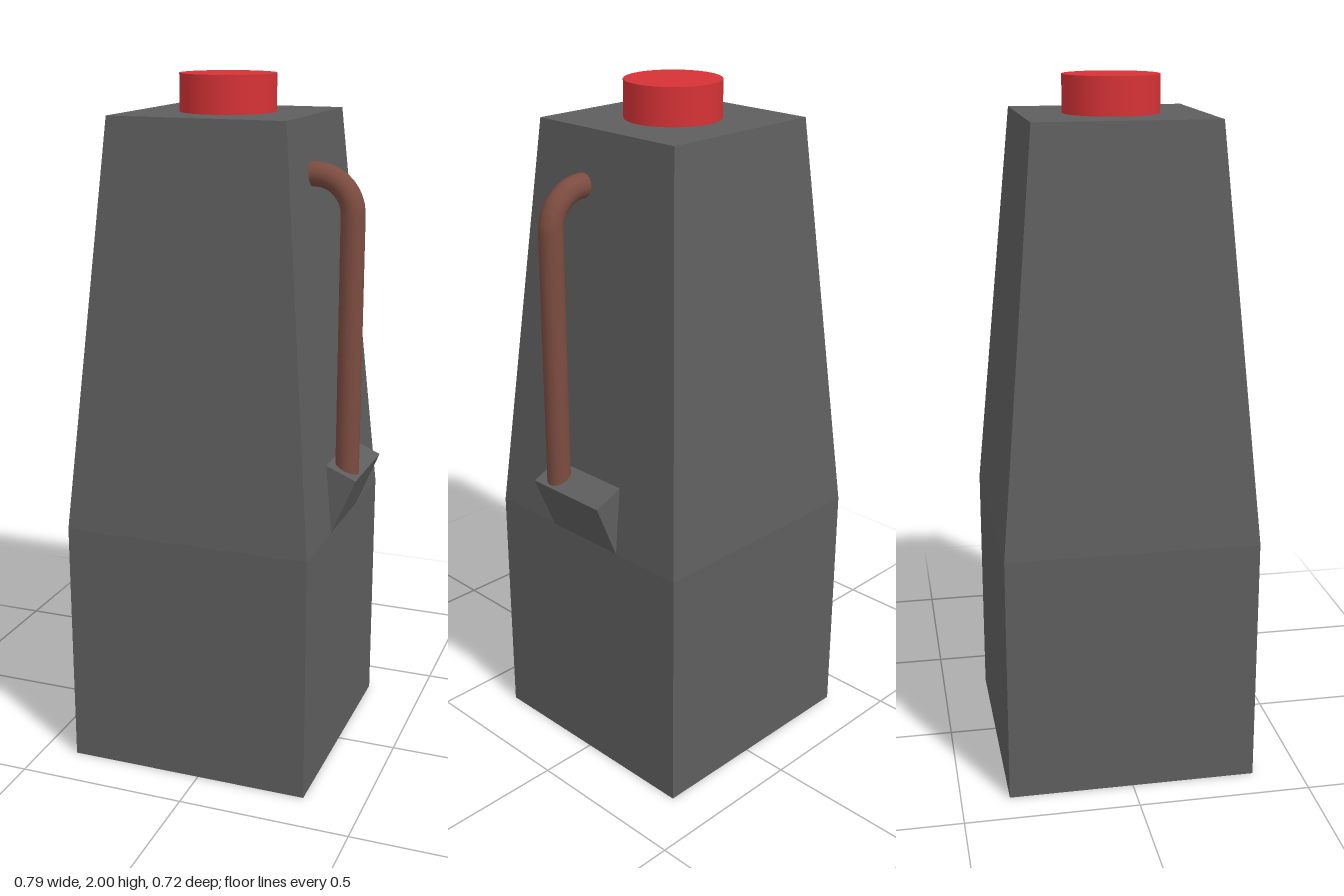
import * as THREE from 'three';

const DARK = 0x5e5e5e, RED = 0xd63236, BROWN = 0x7c4c40;
const CX = -0.035; // body axis

function add(group, name, geometry, color, flat = false) {
  const material = new THREE.MeshStandardMaterial({ color, flatShading: flat, side: THREE.DoubleSide });
  const mesh = new THREE.Mesh(geometry, material);
  mesh.name = name;
  group.add(mesh);
  return mesh;
}

// Square frustum: a four-sided cylinder turned so its sides face the axes
function squareFrustum(halfTop, halfBottom, y0, y1, openEnded = false) {
  const g = new THREE.CylinderGeometry(halfTop * Math.SQRT2, halfBottom * Math.SQRT2, y1 - y0, 4, 1, openEnded);
  return g.rotateY(Math.PI / 4).translate(CX, (y0 + y1) / 2, 0);
}

export function createModel() {
  const model = new THREE.Group();
  model.name = 'container';

  // Straight base and tapering upper body
  add(model, 'lowerBody', squareFrustum(0.361, 0.361, 0, 0.73), DARK, true);
  add(model, 'upperBody', squareFrustum(0.256, 0.361, 0.73, 1.895), DARK, true);

  // Round cap
  add(model, 'cap', new THREE.CylinderGeometry(0.136, 0.136, 0.105, 32).translate(CX, 1.9475, 0), RED);

  // Wedge-shaped bracket that carries the foot of the pipe
  const wedge = new THREE.Shape([[0.326, 0.73], [0.395, 0.895], [0.308, 0.932]].map(p => new THREE.Vector2(...p)));
  const wedgeGeo = new THREE.ExtrudeGeometry(wedge, { depth: 0.264, bevelEnabled: false });
  add(model, 'bracket', wedgeGeo.translate(0, 0, -0.132), DARK, true);

  // Pipe handle: short stub out of the body, quarter bend, straight drop
  const z = 0.073, x = 0.353, top = 1.741, bend = 0.105;
  const points = [new THREE.Vector3(0.23, top, z)];
  for (let i = 0; i <= 8; i++) {
    const a = Math.PI / 2 * (1 - i / 8);
    points.push(new THREE.Vector3(x - bend + bend * Math.cos(a), top - bend + bend * Math.sin(a), z));
  }
  points.push(new THREE.Vector3(x, 0.895, z));
  const path = new THREE.CurvePath();
  for (let i = 1; i < points.length; i++) path.add(new THREE.LineCurve3(points[i - 1], points[i]));
  add(model, 'pipeHandle', new THREE.TubeGeometry(path, 80, 0.034, 16), BROWN);

  return model;
}
